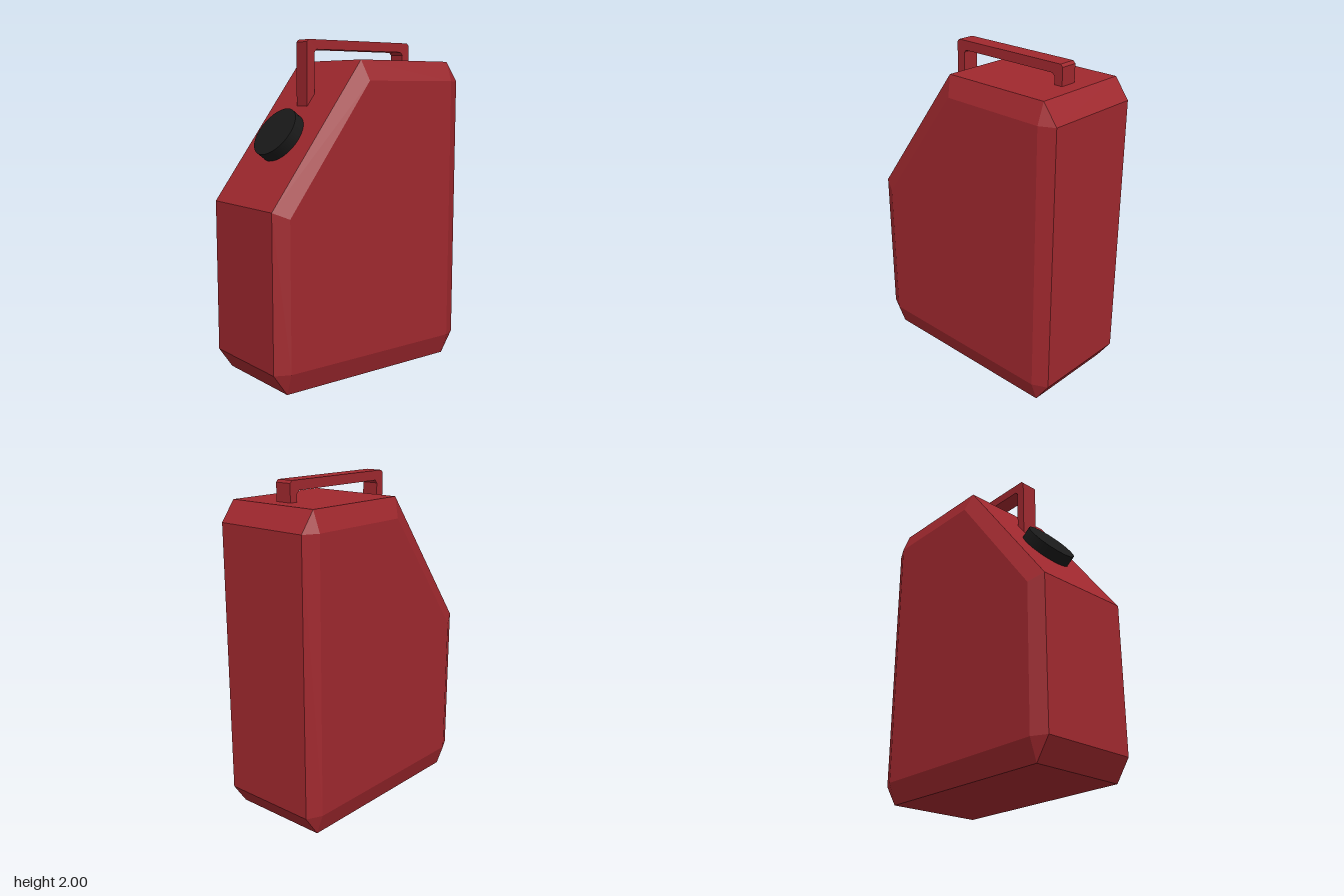
import * as THREE from 'three';
import { ConvexGeometry } from 'three/addons/geometries/ConvexGeometry.js';

const red = new THREE.MeshStandardMaterial({ color: 0xa0282e, flatShading: true });
const black = new THREE.MeshStandardMaterial({ color: 0x1a1a1a });

function addMesh(group, name, geometry, material) {
  const mesh = new THREE.Mesh(geometry, material);
  mesh.name = name;
  group.add(mesh);
  return mesh;
}

export function createModel() {
  const model = new THREE.Group();
  model.name = 'fuelCan';

  // Bevelled tank: wide middle profile and smaller side faces, as [z, y]
  const profile = [[0.7, 0.13], [0.61, 0], [-0.61, 0], [-0.7, 0.13],
    [-0.7, 1.76], [-0.61, 1.88], [0.08, 1.88], [0.7, 1.05]];
  const sideFace = [[0.61, 0.13], [-0.61, 0.13], [-0.61, 1.76], [0.05, 1.76], [0.61, 1.01]];
  const points = [];
  for (const side of [-1, 1]) {
    for (const [z, y] of profile) points.push(new THREE.Vector3(side * 0.305, y, z));
    for (const [z, y] of sideFace) points.push(new THREE.Vector3(side * 0.35, y, z));
  }
  addMesh(model, 'tank', new ConvexGeometry(points), red);

  // Carrying handle: long front leg on the slope, short rear leg on the top
  const outline = [[0.28, 1.58], [0.28, 1.985], [0.265, 2], [-0.505, 2], [-0.52, 1.985],
    [-0.52, 1.85], [-0.467, 1.85], [-0.467, 1.925], [-0.45, 1.943],
    [0.21, 1.943], [0.225, 1.925], [0.225, 1.58]];
  const handleShape = new THREE.Shape(outline.map(([z, y]) => new THREE.Vector2(z, y)));
  const handle = new THREE.ExtrudeGeometry(handleShape, { depth: 0.106, bevelEnabled: false });
  handle.translate(0, 0, -0.053).rotateY(-Math.PI / 2);
  addMesh(model, 'handle', handle, red);

  // Screw cap, square to the sloping front
  const cap = addMesh(model, 'cap', new THREE.CylinderGeometry(0.163, 0.163, 0.09, 32), black);
  cap.rotation.x = Math.atan2(0.83, 0.62);
  cap.position.set(-0.005, 1.443, 0.4365);

  return model;
}
